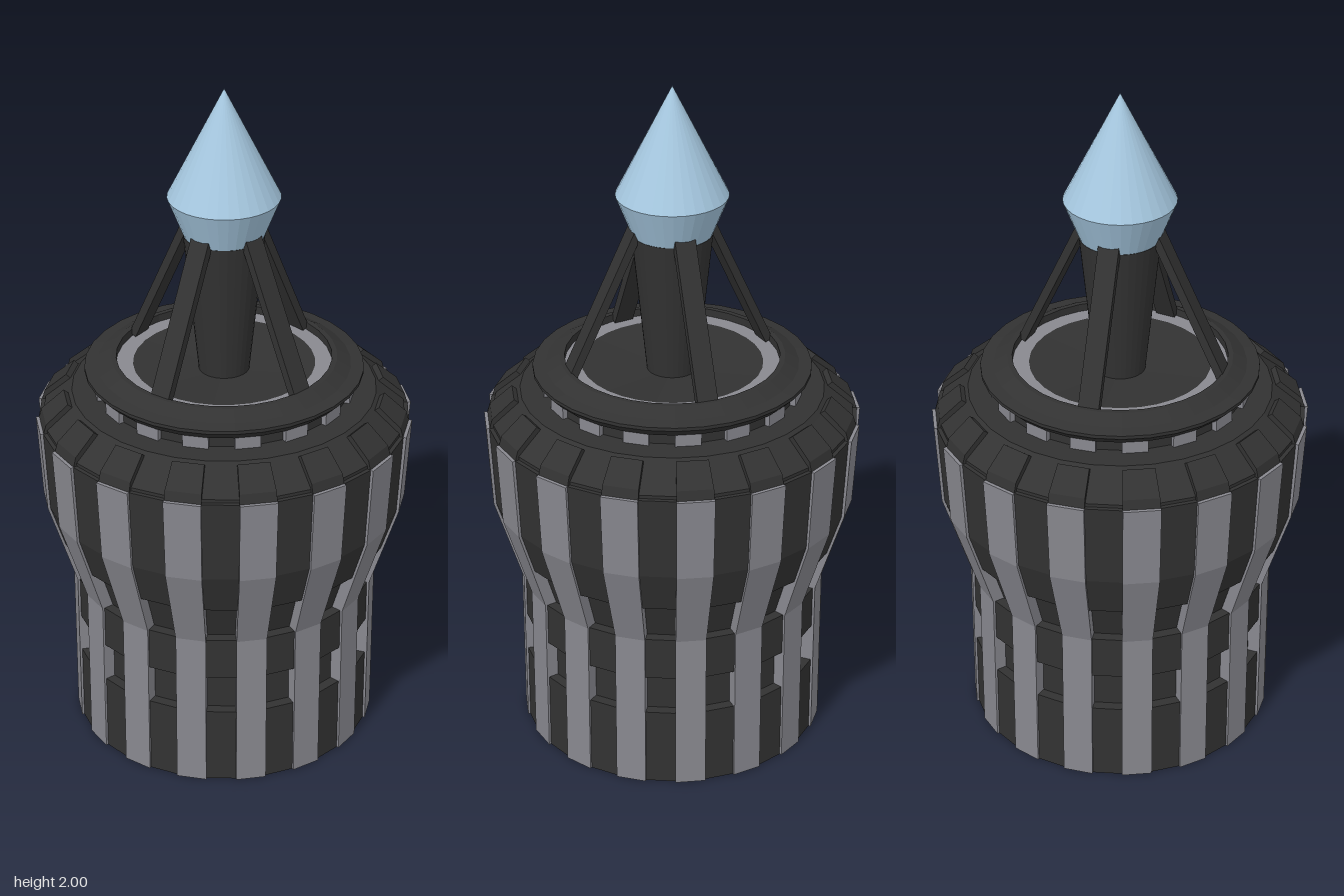
import * as THREE from 'three';
import { mergeGeometries } from 'three/addons/utils/BufferGeometryUtils.js';

const SEG = 32;
const STEP = (Math.PI * 2) / SEG;

export function createModel() {
  const model = new THREE.Group();
  model.name = 'towerModel';

  const mat = (name, color) => {
    const m = new THREE.MeshStandardMaterial({ color });
    m.name = name;
    return m;
  };
  const dark = mat('charcoal', 0x323232);
  const grey = mat('panelGrey', 0x88888f);
  const blue = mat('paleBlue', 0xa6c8e0);

  const add = (name, geometry, material) => {
    const mesh = new THREE.Mesh(geometry, material);
    mesh.name = name;
    model.add(mesh);
    return mesh;
  };

  // Faceted surface of revolution, profile listed from bottom outside to top
  const turned = (name, profile, material) => {
    const lathe = new THREE.LatheGeometry(profile.map(([r, y]) => new THREE.Vector2(r, y)), SEG);
    const g = lathe.toNonIndexed();
    g.computeVertexNormals();
    return add(name, g, material);
  };

  // Solid one-segment wedge of a convex [radius, height] section, counter-clockwise
  const wedge = (section, index) => {
    const [p, q] = [index * STEP, (index + 1) * STEP].map((a) =>
      section.map(([r, y]) => [r * Math.sin(a), y, r * Math.cos(a)]));
    const out = [];
    const n = section.length;
    for (let i = 0; i < n; i++) {
      const j = (i + 1) % n;
      out.push(...p[i], ...q[i], ...q[j], ...p[i], ...q[j], ...p[j]);
      if (i > 0 && i < n - 1) {
        out.push(...p[0], ...p[i], ...p[i + 1], ...q[0], ...q[i + 1], ...q[i]);
      }
    }
    const g = new THREE.BufferGeometry();
    g.setAttribute('position', new THREE.Float32BufferAttribute(out, 3));
    g.computeVertexNormals();
    return g;
  };

  // Ring of wedges on every second segment; start 0 = grey columns, 1 = dark columns
  const ring = (name, sections, start, material) => {
    const parts = [];
    for (let i = start; i < SEG; i += 2) sections.forEach((s) => parts.push(wedge(s, i)));
    add(name, mergeGeometries(parts), material);
  };
  // Plate section between two heights, with its outer radius at each
  const plate = (y0, r0, y1, r1, depth = 0.05) =>
    [[r0 - depth, y0], [r0, y0], [r1, y1], [r1 - depth, y1]];

  // Main body, set back behind the plates
  turned('bodyCore', [
    [0, 0], [0.413, 0], [0.413, 0.49], [0.495, 0.75], [0.51, 1.0],
    [0.525, 1.0], [0.525, 1.01], [0.455, 1.07], [0.44, 1.083], [0.36, 1.083],
  ], dark);

  // Grey upright columns
  ring('greyColumns', [
    plate(0, 0.45, 0.49, 0.45),
    plate(0.49, 0.45, 0.75, 0.532),
    plate(0.75, 0.532, 1.0, 0.546),
  ], 0, grey);

  // Dark plates between them, leaving recessed bands
  ring('darkPlates', [
    plate(0, 0.443, 0.24, 0.443),
    plate(0.36, 0.443, 0.49, 0.443),
    plate(0.62, 0.483, 0.75, 0.524),
    plate(0.75, 0.524, 1.0, 0.537),
  ], 1, dark);

  // Raised blocks on the shoulder
  ring('shoulderBlocks', [
    [[0.47, 1.0], [0.536, 1.0], [0.528, 1.028], [0.463, 1.085], [0.445, 1.07]],
  ], 0, dark);

  // Neck with grey teeth
  turned('neck', [[0.36, 1.07], [0.36, 1.125]], dark);
  ring('neckTeeth', [plate(1.083, 0.376, 1.122, 0.376, 0.03)], 0, grey);

  // Top flange and rim
  turned('topFlange', [
    [0.35, 1.118], [0.375, 1.118], [0.402, 1.145], [0.402, 1.155],
    [0.365, 1.16], [0.325, 1.183], [0.31, 1.183], [0.31, 1.155],
  ], dark);
  turned('greyRing', [[0.312, 1.16], [0.262, 1.16]], grey);
  turned('topDish', [[0.264, 1.16], [0.06, 1.14]], dark);

  // Flared mast and pointed tip
  turned('mast', [[0.072, 1.13], [0.116, 1.565], [0, 1.565]], dark);
  turned('tip', [[0, 1.558], [0.112, 1.558], [0.16, 1.68], [0, 2.0]], blue);

  // Four sloping struts, each slightly off the centre line
  const strut = (foot, head) => {
    const along = head.clone().sub(foot);
    const length = along.length();
    along.normalize();
    const out = new THREE.Vector3(foot.x, 0, foot.z).normalize();
    const side = new THREE.Vector3().crossVectors(along, out).normalize();
    const face = new THREE.Vector3().crossVectors(side, along);
    const g = new THREE.BoxGeometry(0.06, length, 0.024);
    const m = new THREE.Matrix4().makeBasis(side, along, face);
    m.setPosition(foot.clone().add(head).multiplyScalar(0.5));
    return g.applyMatrix4(m);
  };
  const struts = [];
  for (const s of [1, -1]) {
    struts.push(strut(new THREE.Vector3(-0.028, 1.165, 0.305 * s), new THREE.Vector3(-0.012, 1.585, 0.108 * s)));
    struts.push(strut(new THREE.Vector3(0.305 * s, 1.165, 0.028), new THREE.Vector3(0.108 * s, 1.585, 0.012)));
  }
  add('struts', mergeGeometries(struts), dark);

  return model;
}
